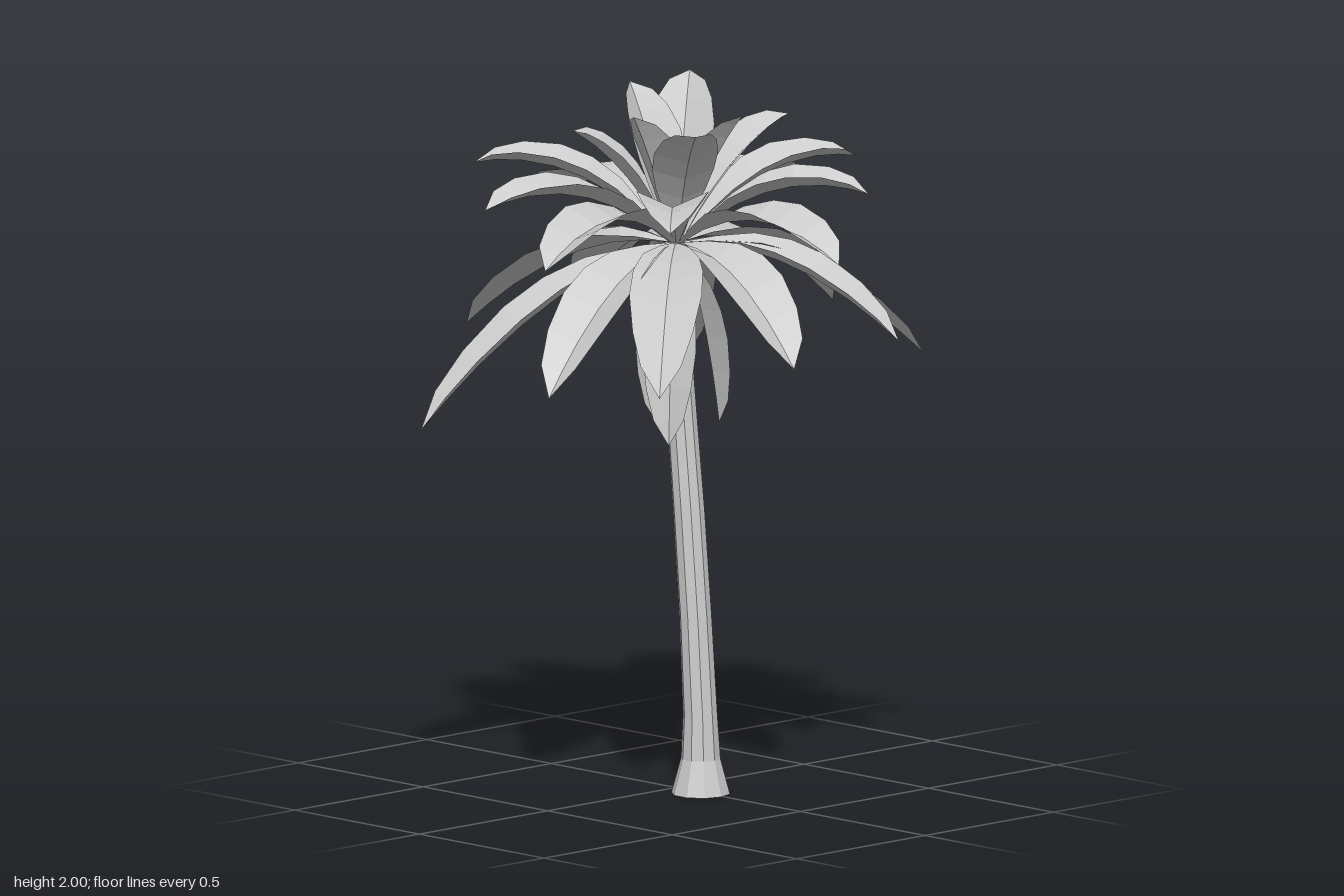
import * as THREE from 'three';

const grey = new THREE.MeshStandardMaterial({ color: 0xcccccc, flatShading: true, side: THREE.DoubleSide });
grey.name = 'pale grey';

// Each layer of the crown: blade width, where and how high the midrib bends, and frond tips as [x, y, z]
const layers = {
  uprightFrond: {
    width: 0.9, bendAt: 0.5, lift: 0.29,
    tips: [
      [0.19, 2.0, -0.14], [0.005, 1.985, -0.19], [-0.21, 1.87, -0.2],
      [-0.165, 1.93, 0], [0.065, 1.93, 0.2], [-0.175, 1.91, 0.26], [0.335, 1.89, 0.11],
    ],
  },
  upperFrond: {
    width: 1, bendAt: 0.5, lift: 0.3,
    tips: [
      [0.465, 1.65, -0.42], [-0.37, 1.77, -0.43], [-0.56, 1.69, -0.19], [-0.43, 1.69, 0.42],
      [0.345, 1.7, 0.42], [0.47, 1.77, 0.24], [0.535, 1.66, -0.07],
      [0.055, 1.6, -0.63], [0.02, 1.57, 0.635], [-0.67, 1.58, 0.165],
    ],
  },
  droopingFrond: {
    width: 1, bendAt: 0.5, lift: 0.245,
    tips: [
      [-0.19, 1.26, -0.645], [0.24, 1.27, -0.63], [0.515, 1.08, -0.5], [0.675, 1.29, -0.065],
      [0.605, 1.21, 0.37], [0.34, 1.3, 0.545], [-0.165, 1.3, 0.645], [-0.525, 1.24, 0.475],
      [-0.67, 1.22, 0.18], [-0.635, 1.05, -0.37],
    ],
  },
  hangingFrond: {
    width: 0.75, bendAt: 0.7, lift: 0.6,
    tips: [[-0.115, 1.0, 0.09], [0.055, 1.0, -0.12], [0.12, 1.03, 0.05]],
  },
};

// Half width of the blade along its length, as [position, half width]
const bladeProfile = [
  [0, 0.008], [0.15, 0.04], [0.3, 0.082], [0.45, 0.104], [0.6, 0.108], [0.77, 0.09], [0.9, 0.06], [1, 0],
];

// A blade folded into a shallow V along an arching midrib
function frondGeometry([x, y, z], { width, bendAt, lift }) {
  const reach = Math.hypot(x, z);
  const out = new THREE.Vector3(x / reach, 0, z / reach);
  const side = new THREE.Vector3(out.z, 0, -out.x);
  const base = out.clone().multiplyScalar(0.015).setY(1.55);
  const tip = new THREE.Vector3(x, y, z);
  const bend = out.clone().multiplyScalar(reach * bendAt).setY((1.55 + y) / 2 + lift * reach);
  const rib = new THREE.QuadraticBezierCurve3(base, bend, tip);
  const points = [];
  const index = [];
  bladeProfile.forEach(([t, half], i) => {
    const w = half * width;
    const centre = rib.getPoint(t);
    const up = rib.getTangent(t).cross(side).normalize();
    const edge = (s) => centre.clone().addScaledVector(side, s * w * 0.94).addScaledVector(up, w * 0.42);
    for (const p of [edge(-1), centre, edge(1)]) points.push(p.x, p.y, p.z);
    if (i === 0) return;
    const b = i * 3;
    const a = b - 3;
    for (const k of [0, 1]) index.push(a + k, a + k + 1, b + k, a + k + 1, b + k + 1, b + k);
  });
  const g = new THREE.BufferGeometry();
  g.setAttribute('position', new THREE.Float32BufferAttribute(points, 3));
  g.setIndex(index);
  g.computeVertexNormals();
  return g;
}

// Leaning trunk with a flared foot: rings of [y, radius, z]
function trunkGeometry() {
  const rings = [
    [0, 0.083, 0.108], [0.1, 0.056, 0.108], [0.22, 0.049, 0.106], [0.5, 0.046, 0.087],
    [0.8, 0.045, 0.06], [1.05, 0.043, 0.034], [1.3, 0.039, 0.012], [1.54, 0.03, 0],
  ];
  const sides = 10;
  const g = new THREE.CylinderGeometry(1, 1, 1, sides, rings.length - 1, true);
  const p = g.attributes.position;
  for (let i = 0; i < p.count; i++) {
    const row = rings.length - 1 - Math.floor(i / (sides + 1));
    const [y, r, z] = rings[row];
    p.setXYZ(i, p.getX(i) * r - 0.008, y, p.getZ(i) * r + z);
  }
  g.computeVertexNormals();
  return g;
}

export function createModel() {
  const model = new THREE.Group();
  model.name = 'palmTree';

  const add = (geometry, name, parent = model) => {
    const mesh = new THREE.Mesh(geometry, grey);
    mesh.name = name;
    parent.add(mesh);
    return mesh;
  };

  add(trunkGeometry(), 'trunk');

  // Small bud where the fronds meet
  add(new THREE.ConeGeometry(0.032, 0.1, 7), 'crownBud').position.set(0, 1.57, 0);

  // Crown of fronds
  const crown = new THREE.Group();
  crown.name = 'crown';
  model.add(crown);
  for (const [name, layer] of Object.entries(layers)) {
    for (const tip of layer.tips) add(frondGeometry(tip, layer), name, crown);
  }
  return model;
}
